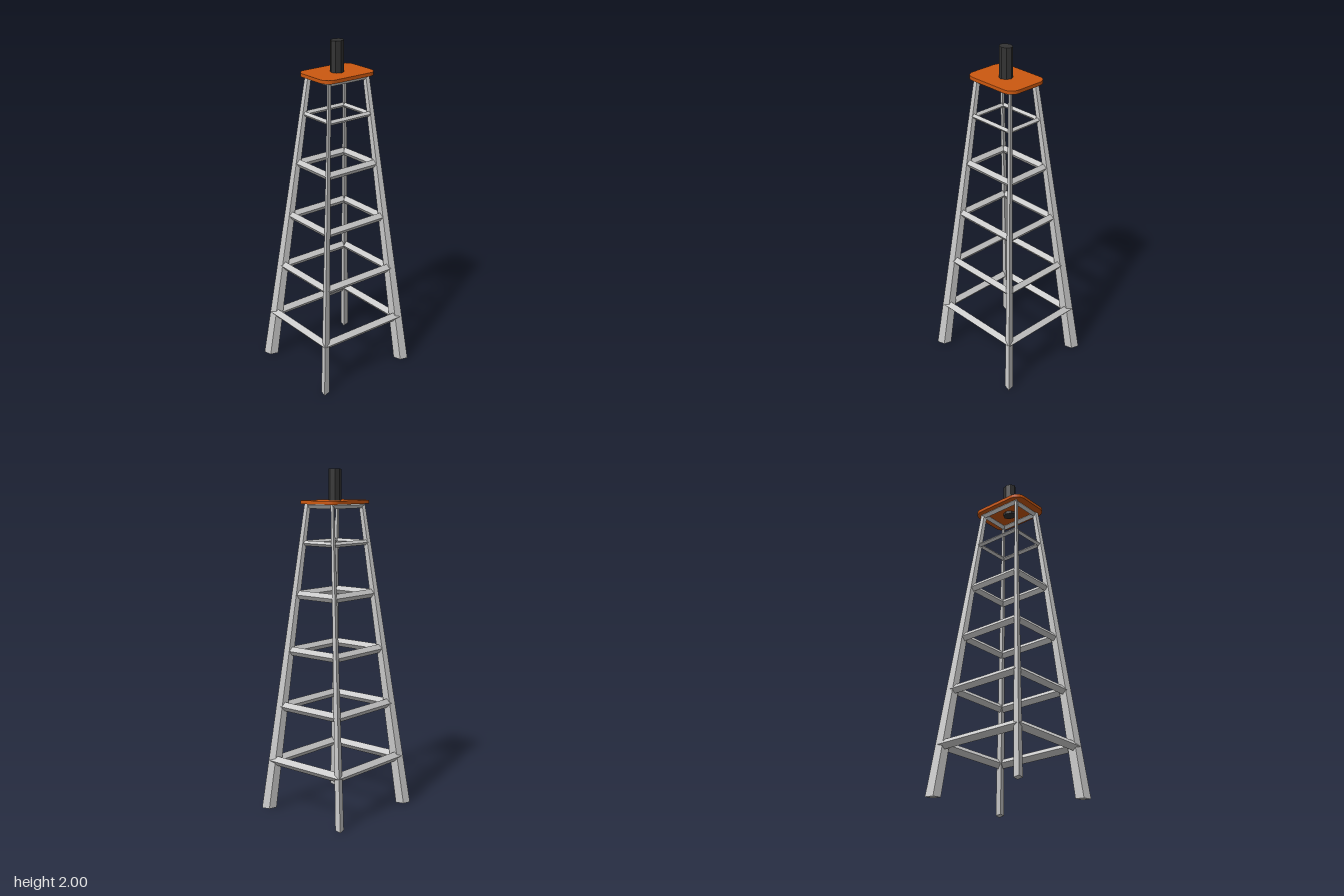
import * as THREE from 'three';

const paint = (color) => new THREE.MeshStandardMaterial({ color, flatShading: true });
const TOP_X = 0.013; // the tower leans very slightly sideways towards the top
const TOP_Y = 1.805;

export function createModel() {
  const group = new THREE.Group();
  const steel = paint(0xcccccc);
  const orange = paint(0xcc5810);
  const dark = paint(0x333333);
  const add = (name, geometry, material) => {
    const mesh = new THREE.Mesh(geometry, material);
    mesh.name = name;
    group.add(mesh);
    return mesh;
  };

  // Tapering diamond-section legs, sheared inwards from foot to top
  const leg = (sx, sz) => {
    const geo = new THREE.CylinderGeometry(0.42, 1, TOP_Y, 4, 1);
    geo.translate(0, TOP_Y / 2, 0);
    geo.scale(0.043, 1, 0.024);
    geo.rotateY(Math.atan2(-sz, sx));
    const p = geo.attributes.position;
    for (let i = 0; i < p.count; i++) {
      const t = p.getY(i) / TOP_Y;
      p.setX(i, p.getX(i) + sx * THREE.MathUtils.lerp(0.277, 0.093, t) + TOP_X * t);
      p.setZ(i, p.getZ(i) + sz * THREE.MathUtils.lerp(0.298, 0.129, t));
    }
    geo.computeVertexNormals();
    return geo;
  };
  for (const [name, sz] of [['front', 1], ['back', -1]]) {
    add(name + 'LeftLeg', leg(1, sz), steel);
    add(name + 'RightLeg', leg(-1, sz), steel);
  }

  // Rectangular frames with a diamond section: a four-sided lathe, narrowed in x
  const ring = (hx, hz, halfW, halfH) => {
    const profile = [[-1, -1], [0, 0], [-1, 1], [-2, 0], [-1, -1]].map(
      ([u, v]) => new THREE.Vector2((hz + u * halfW) * Math.SQRT2, v * halfH));
    const geo = new THREE.LatheGeometry(profile, 4, Math.PI / 4);
    const p = geo.attributes.position;
    for (let i = 0; i < p.count; i++) {
      p.setX(i, p.getX(i) + Math.sign(p.getX(i)) * (hx - hz));
    }
    geo.computeVertexNormals();
    return geo;
  };
  // height, outer half width, outer half depth, section half width, section half height
  const frames = [
    [0.295, 0.272, 0.297, 0.024, 0.029],
    [0.625, 0.231, 0.256, 0.021, 0.027],
    [0.956, 0.191, 0.219, 0.019, 0.026],
    [1.285, 0.154, 0.184, 0.017, 0.025],
    [1.582, 0.126, 0.154, 0.012, 0.015],
    [1.798, 0.108, 0.138, 0.014, 0.02],
  ];
  frames.forEach(([y, hx, hz, w, h], i) => {
    add('crossFrame' + (i + 1), ring(hx, hz, w, h), steel)
      .position.set(TOP_X * y / TOP_Y, y, 0);
  });

  // Rounded top plate with an octagonal hole
  const w = 0.135, d = 0.18, r = 0.058;
  const shape = new THREE.Shape();
  shape.absarc(w - r, d - r, r, 0, Math.PI / 2);
  shape.absarc(r - w, d - r, r, Math.PI / 2, Math.PI);
  shape.absarc(r - w, r - d, r, Math.PI, Math.PI * 1.5);
  shape.absarc(w - r, r - d, r, Math.PI * 1.5, Math.PI * 2);
  shape.closePath();
  const hole = [];
  for (let i = 0; i < 8; i++) {
    const a = -i * Math.PI / 4;
    hole.push(new THREE.Vector2(Math.cos(a) * 0.04, Math.sin(a) * 0.04));
  }
  shape.holes.push(new THREE.Path(hole));
  const plate = new THREE.ExtrudeGeometry(shape, { depth: 0.02, bevelEnabled: false, curveSegments: 6 });
  plate.rotateX(-Math.PI / 2);
  add('topPlate', plate, orange).position.set(TOP_X, 1.804, 0);

  // Eight-sided post standing through the plate
  const post = new THREE.CylinderGeometry(0.041, 0.041, 0.21, 8);
  post.scale(0.83, 1, 1);
  add('post', post, dark).position.set(TOP_X, 1.895, 0);

  return group;
}
